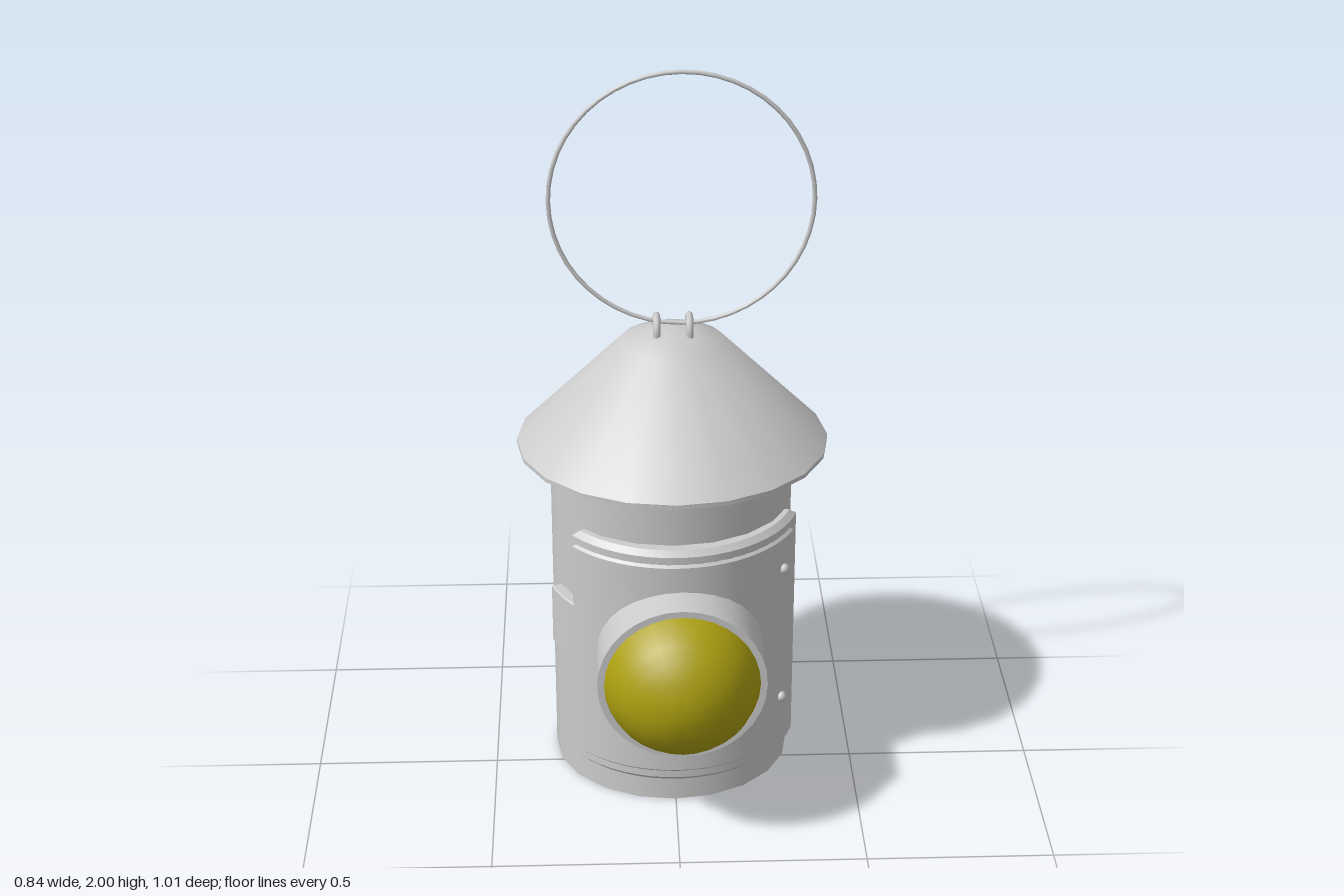
import * as THREE from 'three';
import { toCreasedNormals } from 'three/addons/utils/BufferGeometryUtils.js';

const grey = new THREE.MeshStandardMaterial({ color: 0xcccccc, side: THREE.DoubleSide });
const amber = new THREE.MeshStandardMaterial({ color: 0xaca010, side: THREE.DoubleSide });
const AXIS_Z = -0.104; // z of the lantern's vertical axis

function lathe(points, segments, crease = 0.5) {
  const profile = points.map(([r, y]) => new THREE.Vector2(r, y));
  return toCreasedNormals(new THREE.LatheGeometry(profile, segments), crease);
}

// Curved plate wrapped round the axis; angles in degrees from the front towards +x
function curvedPlate(rIn, rOut, from, to, y0, y1, bevel) {
  const n = 18, pts = [];
  const at = (r, t) => {
    const a = THREE.MathUtils.degToRad(from + (to - from) * t);
    return new THREE.Vector2(r * Math.sin(a), -r * Math.cos(a));
  };
  for (let i = 0; i <= n; i++) pts.push(at(rOut, i / n));
  for (let i = n; i >= 0; i--) pts.push(at(rIn, i / n));
  const geo = new THREE.ExtrudeGeometry(new THREE.Shape(pts), {
    depth: y1 - y0 - 2 * bevel, bevelEnabled: true, bevelSegments: 1,
    bevelSize: bevel, bevelThickness: bevel, bevelOffset: -bevel,
  });
  geo.rotateX(-Math.PI / 2).translate(0, y0 + bevel, 0);
  return toCreasedNormals(geo, 0.4);
}

export function createModel() {
  const model = new THREE.Group();
  const add = (name, geo, x, y, z, material = grey) => {
    const mesh = new THREE.Mesh(geo, material);
    mesh.name = name;
    mesh.position.set(x, y, z);
    model.add(mesh);
    return mesh;
  };

  // Slightly oval body, closed at the base
  add('body', lathe([[0, 0], [0.328, 0], [0.328, 1.04]], 20), -0.003, 0, AXIS_Z).scale.z = 0.94;

  // Hollow conical roof with a shallow crown and a thin rim
  add('roof', lathe([
    [0, 1.235], [0.125, 1.23], [0.405, 0.955], [0.42, 0.955], [0.42, 0.967],
    [0.137, 1.255], [0.06, 1.281], [0, 1.287],
  ], 20), 0, 0, -0.107).scale.z = 0.955;

  // Door: chamfered backing plate, raised panel, clasp and rivets
  add('doorFrame', curvedPlate(0.29, 0.348, -52, 72, 0.083, 0.8, 0.015), 0, 0, AXIS_Z);
  add('doorPanel', curvedPlate(0.32, 0.355, -50.5, 65, 0.117, 0.766, 0.009), 0, 0, AXIS_Z);
  add('clasp', curvedPlate(0.3, 0.352, -71, -48.5, 0.4, 0.577, 0.004), 0, 0, AXIS_Z);
  const rivetAngle = THREE.MathUtils.degToRad(55.5);
  for (const y of [0.26, 0.665]) {
    add('rivet', new THREE.SphereGeometry(0.015, 12, 8),
      0.356 * Math.sin(rivetAngle), y, AXIS_Z + 0.356 * Math.cos(rivetAngle));
  }

  // Lens housing: short tube with a lip facing forwards
  const housing = lathe([[0.225, 0.1], [0.225, 0.35], [0.207, 0.35], [0.207, 0.3]], 32);
  add('lensHousing', housing.rotateX(Math.PI / 2), 0.012, 0.46, 0);

  // Domed lens: a cap of a sphere
  const R = 0.2157, zc = 0.289, edge = Math.acos(0.05 / R), dome = [];
  for (let i = 0; i <= 6; i++) {
    const a = edge * (1 - i / 6);
    dome.push([R * Math.sin(a), zc + R * Math.cos(a)]);
  }
  add('lens', lathe(dome, 32, 1).rotateX(Math.PI / 2), 0.012, 0.46, 0, amber);

  // Two staples on the crown holding the carrying ring
  for (const x of [-0.042, 0.045]) {
    add('staple', new THREE.TorusGeometry(0.037, 0.01, 8, 14, Math.PI).rotateY(Math.PI / 2),
      x, 1.285, AXIS_Z);
  }
  for (const x of [-0.042, 0.045]) {
    for (const s of [-1, 1]) {
      add('stapleLeg', new THREE.CylinderGeometry(0.01, 0.01, 0.04, 8), x, 1.266, AXIS_Z + s * 0.037);
    }
  }
  add('carryingRing', new THREE.TorusGeometry(0.345, 0.006, 8, 48), 0.024, 1.649, AXIS_Z + 0.003);

  return model;
}
